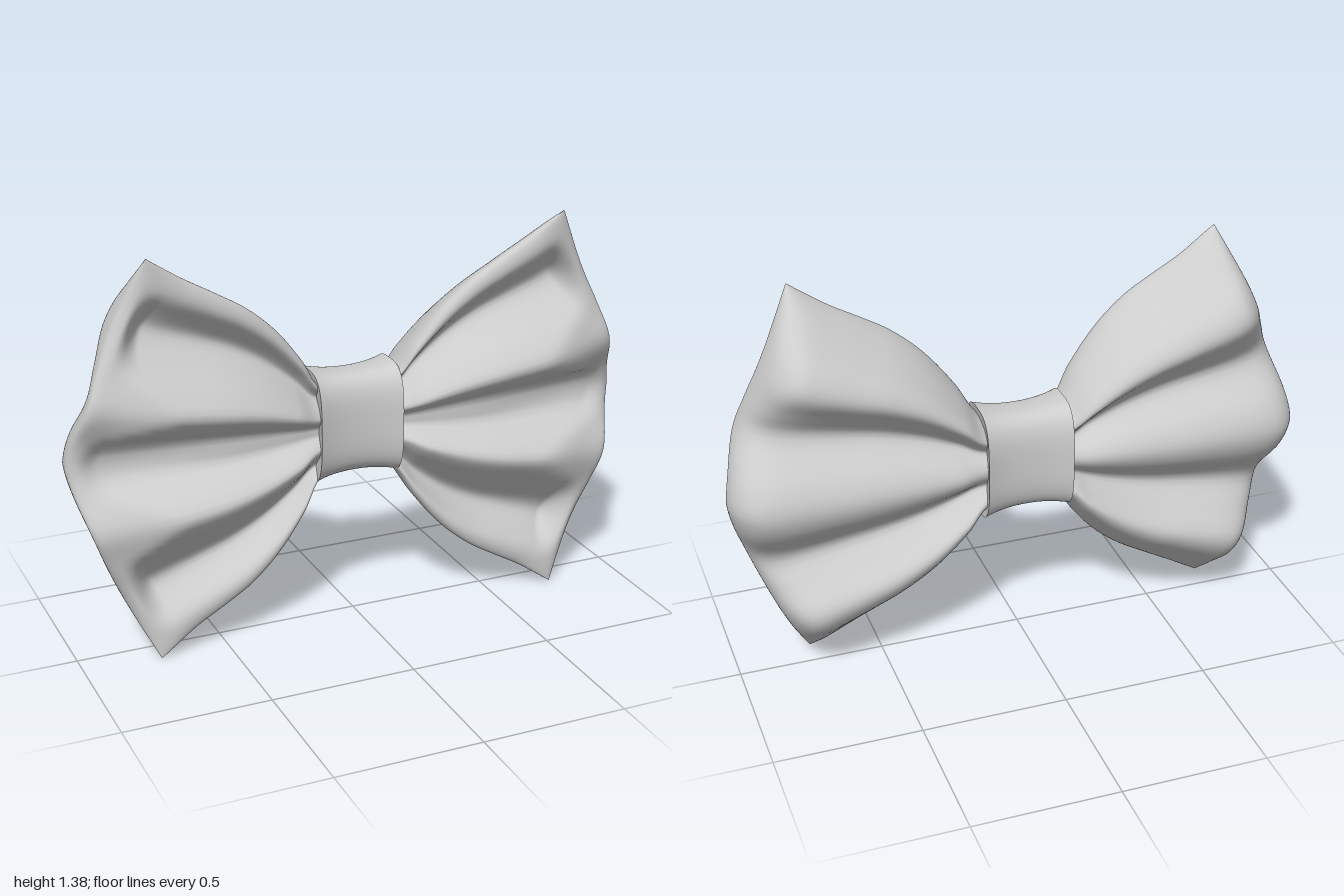
import * as THREE from 'three';
import { mergeVertices, toCreasedNormals } from 'three/addons/utils/BufferGeometryUtils.js';

const CENTER_Y = 0.69;
const { lerp, smoothstep } = THREE.MathUtils;

// Smooth curve through [t, value] pairs
function curve(pairs) {
  const n = pairs.length;
  const slope = pairs.map((_, i) => {
    const a = pairs[Math.max(i - 1, 0)], b = pairs[Math.min(i + 1, n - 1)];
    return (b[1] - a[1]) / (b[0] - a[0]);
  });
  return (t) => {
    let i = 0;
    while (i < n - 2 && t > pairs[i + 1][0]) i++;
    const [t0, p0] = pairs[i], [t1, p1] = pairs[i + 1];
    const d = t1 - t0, s = Math.min(Math.max((t - t0) / d, 0), 1), s2 = s * s, s3 = s2 * s;
    return p0 * (2 * s3 - 3 * s2 + 1) + slope[i] * d * (s3 - 2 * s2 + s)
      + p1 * (3 * s2 - 2 * s3) + slope[i + 1] * d * (s3 - s2);
  };
}

// Skin of closed rings: point(row 0..1, angle 0..2PI) -> [x, y, z]
function loft(rows, cols, point, flip = false) {
  const pos = [], index = [];
  for (let i = 0; i <= rows; i++) {
    for (let j = 0; j < cols; j++) pos.push(...point(i / rows, (j / cols) * Math.PI * 2));
  }
  for (let i = 0; i < rows; i++) {
    for (let j = 0; j < cols; j++) {
      const a = i * cols + j, b = i * cols + (j + 1) % cols, c = a + cols, d = b + cols;
      if (flip) index.push(a, c, b, b, c, d);
      else index.push(a, b, c, b, d, c);
    }
  }
  const g = new THREE.BufferGeometry();
  g.setAttribute('position', new THREE.Float32BufferAttribute(pos, 3));
  g.setIndex(index);
  const merged = mergeVertices(g, 1e-5);
  merged.computeVertexNormals();
  return merged;
}

// Wing outline and fold profiles (v = 0 at the middle, 1 at the top or bottom hem)
const halfHeight = curve([[0, 0.15], [0.08, 0.185], [0.16, 0.27], [0.31, 0.39], [0.47, 0.48], [0.63, 0.543], [0.8, 0.605], [0.92, 0.655], [1, 0.69]]);
const frontFolds = curve([[-0.1, 0.03], [0, 0.01], [0.1, 0.03], [0.19, 0.11], [0.31, 0.173], [0.44, 0.135], [0.56, 0.068], [0.66, 0.015], [0.72, 0.005], [0.79, 0.035], [0.89, 0.095], [1, 0.11]]);
const frontRim = curve([[-0.12, 0.05], [0, 0.03], [0.12, 0.05], [0.3, 0.115], [0.46, 0.105], [0.65, 0.095], [0.85, 0.1], [1, 0.11]]);
const backFolds = curve([[-0.15, -0.145], [0, -0.173], [0.15, -0.145], [0.36, -0.05], [0.5, -0.1], [0.64, -0.168], [0.76, -0.148], [0.88, -0.06], [1, 0.04]]);
// Fold depth grows from the gathered inner end outwards
const frontGain = curve([[0, 0.2], [0.07, 0.34], [0.16, 0.62], [0.4, 0.92], [0.6, 1], [1, 1]]);
const backGain = curve([[0, 0.2], [0.07, 0.35], [0.16, 0.65], [0.5, 0.97], [0.7, 1], [1, 1]]);

// Rounding of a sheet towards its border
const taper = (k, power) => Math.sqrt(Math.max(0, 1 - Math.pow(k, power)));

function wingPoint(side, t, angle) {
  const u = 1 - Math.pow(1 - t, 1.8);
  const v = Math.cos(angle), w = Math.abs(v);
  const reach = 0.735 + 0.265 * (1 - Math.pow(w, 1.35));
  const x = 0.1 + (reach - 0.1) * u;
  // Channels end in pockets near the rim; ridges sink towards it sooner
  const ridge = Math.exp(-Math.pow((w - 0.31) / 0.14, 2));
  const toRim = smoothstep(u, 0.84 + 0.05 * (1 - w) - 0.24 * ridge, 0.97);
  // The middle channel is shallow until it nears the outer edge
  const fill = 0.045 * (1 - smoothstep(u, 0.3, 0.85)) * Math.exp(-Math.pow(w / 0.15, 2));
  const front = lerp(lerp(0.02, frontFolds(w) + fill, frontGain(u)), frontRim(w), toRim);
  const back = lerp(-0.095, backFolds(w), backGain(u));
  // The outer edge lies nearer the front, the hems lie midway
  const seam = lerp(front, back, 0.5 - 0.28 * smoothstep(u, 0.75, 1));
  const z = angle <= Math.PI
    ? lerp(seam, front, taper(w, 30) * taper(u, 20))
    : lerp(seam, back, taper(w, 30) * taper(u, 13));
  return [side * x, CENTER_Y + v * halfHeight(u), z];
}

// Waisted band with rolled-in ends
function knotPoint(t, angle) {
  const s = t * 2 - 1, flare = Math.pow(Math.abs(s), 2.2);
  const round = (k) => Math.sign(k) * Math.pow(Math.abs(k), 0.62);
  return [0.15 * s, CENTER_Y + 0.012 + (0.178 + 0.018 * flare) * round(Math.cos(angle)),
    -0.033 + (0.098 + 0.025 * flare) * round(Math.sin(angle))];
}

function knotLip(side) {
  return (t, angle) => {
    const [x, y, z] = knotPoint(side > 0 ? 1 : 0, angle);
    const k = 1 - 0.7 * t;
    return [x - side * 0.02 * t, CENTER_Y + (y - CENTER_Y) * k, -0.033 + (z + 0.033) * k];
  };
}

export function createModel() {
  const fabric = new THREE.MeshStandardMaterial({ color: 0xcccccc });
  fabric.name = 'light grey fabric';
  const group = new THREE.Group();
  group.name = 'bowTie';
  const add = (name, geometry) => {
    const mesh = new THREE.Mesh(geometry, fabric);
    mesh.name = name;
    group.add(mesh);
  };

  // Pleated wings
  for (const side of [1, -1]) {
    add(side > 0 ? 'leftWing' : 'rightWing',
      loft(90, 160, (t, a) => wingPoint(side, t, a), side < 0));
  }

  // Centre knot and its end lips
  add('knot', toCreasedNormals(loft(24, 72, knotPoint), 0.9));
  for (const side of [1, -1]) {
    add(side > 0 ? 'leftKnotLip' : 'rightKnotLip', loft(4, 72, knotLip(side), side < 0));
  }
  return group;
}
